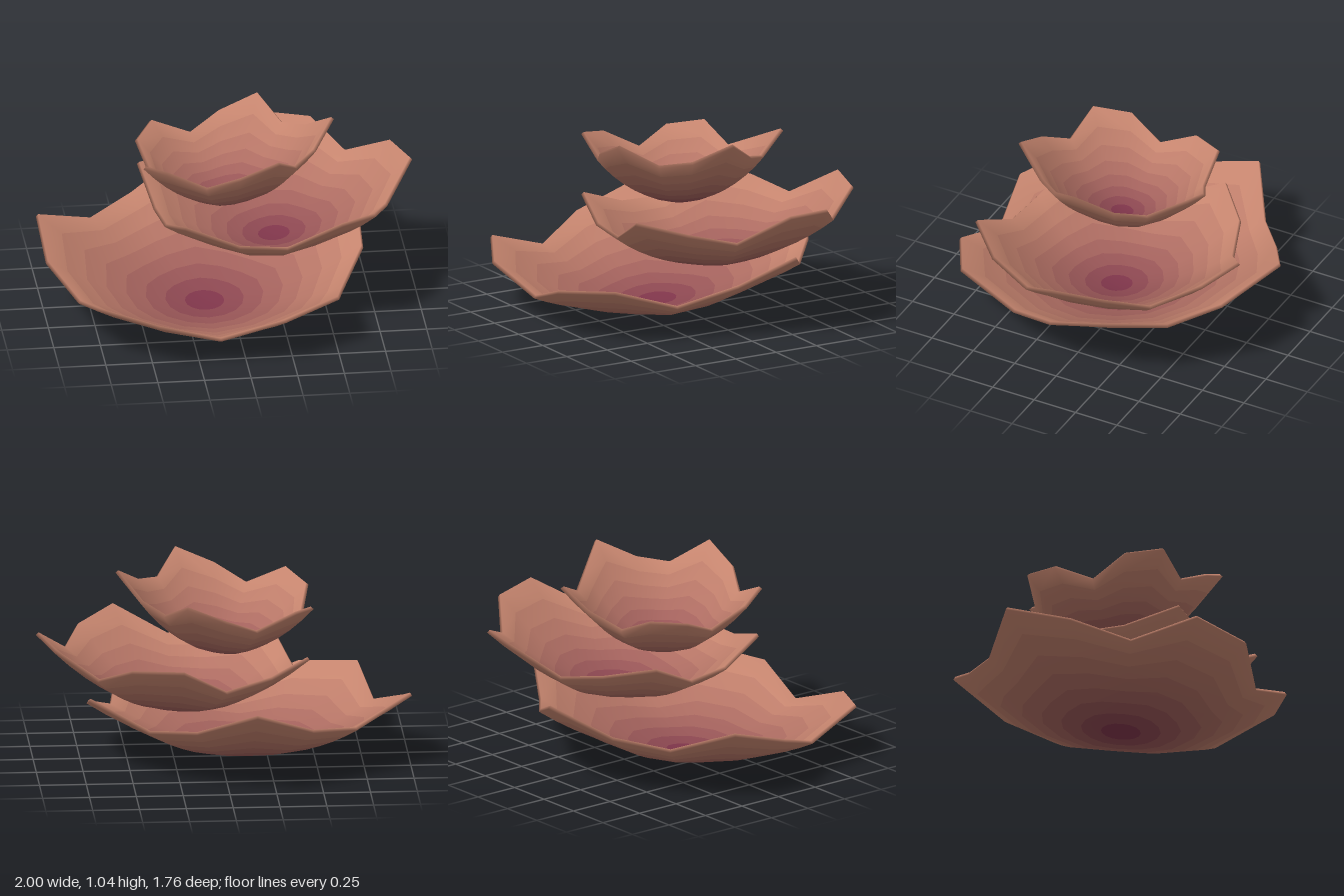
import * as THREE from 'three';

const SEGMENTS = 16, RINGS = 8, THICKNESS = 0.02;

// One thin wavy bowl: parabolic profile, five-lobed rim, slight tilt,
// coloured from a dark heart to a pale rim in concentric bands.
function makeBowl({ name, centre, radius, depth, lobe, ripple, phase, tilt }) {
  const [cx, cy, cz] = centre;
  const positions = [];
  const perSide = 1 + RINGS * SEGMENTS;
  const id = (side, j, i) =>
    side * perSide + (j === 0 ? 0 : 1 + (j - 1) * SEGMENTS + (i % SEGMENTS));

  // inner (0) and outer (1) skins, each an apex plus rings
  for (let side = 0; side < 2; side++) {
    for (let j = 0; j <= RINGS; j++) {
      const t = j / RINGS;
      for (let i = 0; i < (j === 0 ? 1 : SEGMENTS); i++) {
        const a = (i / SEGMENTS) * Math.PI * 2;
        const wave = Math.cos(5 * a + phase);
        let r = radius * t + lobe * wave * t ** 3;
        let y = cy + depth * t * t + ripple * wave * t ** 3
          + r * (tilt[0] * Math.cos(a) + tilt[1] * Math.sin(a));
        if (side === 1) {
          const slope = (2 * depth * t) / radius;
          const k = THICKNESS / Math.hypot(1, slope);
          r += k * slope;
          y -= k;
        }
        positions.push(cx + r * Math.cos(a), y, cz + r * Math.sin(a));
      }
    }
  }

  // faces, kept per band so that each band can have its own colour
  const bands = [];
  for (let j = 0; j < RINGS; j++) {
    const band = [];
    for (let i = 0; i < SEGMENTS; i++) {
      for (let side = 0; side < 2; side++) {
        const a = id(side, j, i), b = id(side, j, i + 1);
        const c = id(side, j + 1, i), d = id(side, j + 1, i + 1);
        if (j > 0) band.push(...(side ? [a, c, b] : [a, b, c]));
        band.push(...(side ? [b, c, d] : [b, d, c]));
      }
      // lip closing the rim
      if (j === RINGS - 1) {
        const a = id(0, RINGS, i), b = id(0, RINGS, i + 1);
        const c = id(1, RINGS, i), d = id(1, RINGS, i + 1);
        band.push(a, b, c, b, d, c);
      }
    }
    bands.push(band);
  }

  // smooth normals over the whole bowl, shared by all bands
  const whole = new THREE.BufferGeometry();
  whole.setAttribute('position', new THREE.Float32BufferAttribute(positions, 3));
  whole.setIndex(bands.flat());
  whole.computeVertexNormals();

  const bowl = new THREE.Group();
  bowl.name = name;
  const heart = new THREE.Color(0x7a2a48), rim = new THREE.Color(0xc98870);
  bands.forEach((band, j) => {
    const geometry = new THREE.BufferGeometry();
    geometry.setAttribute('position', whole.attributes.position);
    geometry.setAttribute('normal', whole.attributes.normal);
    geometry.setIndex(band);
    const color = heart.clone().lerp(rim, (j + 0.5) / RINGS);
    const mesh = new THREE.Mesh(geometry, new THREE.MeshStandardMaterial({ color }));
    mesh.name = `${name}Band${j + 1}`;
    bowl.add(mesh);
  });
  return bowl;
}

export function createModel() {
  const model = new THREE.Group();
  model.name = 'stackedBowls';
  const bowls = [
    { name: 'lowerBowl', centre: [-0.14, 0.02, 0.06], radius: 0.84, depth: 0.28,
      lobe: 0.09, ripple: 0.088, phase: Math.PI / 2, tilt: [0, -0.083] },
    { name: 'middleBowl', centre: [0.25, 0.32, -0.1], radius: 0.68, depth: 0.295,
      lobe: 0.07, ripple: 0.08, phase: 0.8, tilt: [0.08, -0.04] },
    { name: 'upperBowl', centre: [0, 0.605, 0], radius: 0.485, depth: 0.3,
      lobe: 0.06, ripple: 0.07, phase: 0, tilt: [0.11, 0.052] },
  ];
  for (const b of bowls) model.add(makeBowl(b));
  return model;
}
